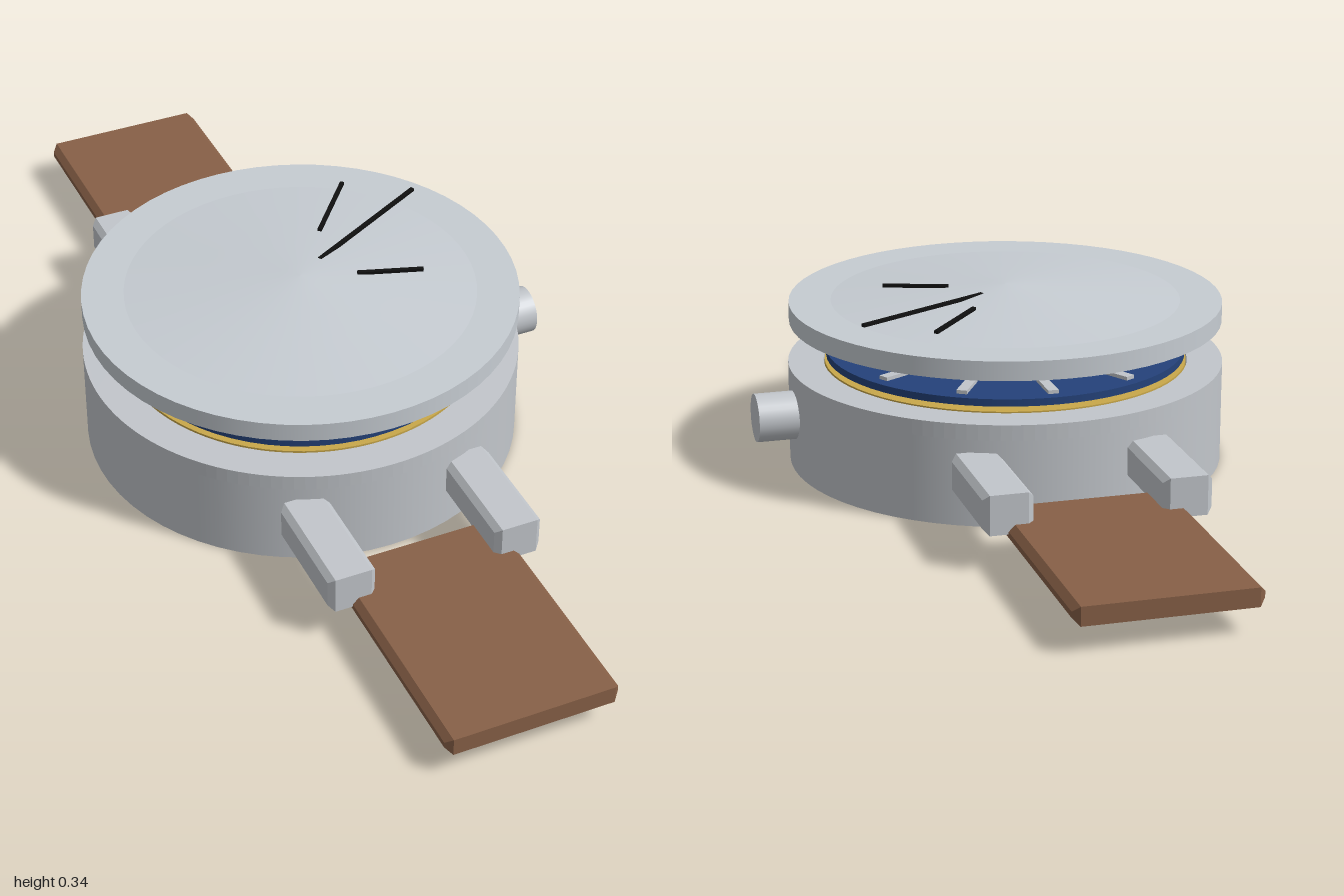
import * as THREE from 'three';

const CX = -0.038; // watch axis, offset because the crown sticks out on one side

function material(name, color) {
  const m = new THREE.MeshStandardMaterial({ color });
  m.name = name;
  return m;
}

// Box chamfered along its length, sized w (x), h (y), d (z)
function bevelBox(w, h, d, b) {
  const x = d / 2 - b, y = h / 2 - b;
  const shape = new THREE.Shape([
    new THREE.Vector2(-x, -y), new THREE.Vector2(x, -y),
    new THREE.Vector2(x, y), new THREE.Vector2(-x, y),
  ]);
  const geo = new THREE.ExtrudeGeometry(shape, {
    depth: w - 2 * b, bevelSize: b, bevelThickness: b, bevelSegments: 1,
  });
  geo.rotateY(Math.PI / 2);
  geo.center();
  return geo;
}

export function createModel() {
  const steel = material('steel', 0xc2c6cb);
  const glass = material('crystal grey', 0xc6ccd2);
  const leather = material('brown leather', 0x876047);
  const navy = material('navy blue', 0x24427a);
  const gold = material('gold', 0xc9a84a);
  const black = material('black', 0x101010);
  const model = new THREE.Group();
  model.name = 'explodedWristwatch';

  const add = (name, geo, mat, x, y, z, parent = model) => {
    const mesh = new THREE.Mesh(geo, mat);
    mesh.name = name;
    mesh.position.set(x, y, z);
    parent.add(mesh);
    return mesh;
  };
  const disc = (name, r, y0, y1, mat, x = CX, z = 0) =>
    add(name, new THREE.CylinderGeometry(r, r, y1 - y0, 64), mat, x, (y0 + y1) / 2, z);

  // Flat bar between two points in plan
  const bar = (name, x0, z0, x1, z1, y, width, height, mat) => {
    const len = Math.hypot(x1 - x0, z1 - z0);
    const mesh = add(name, new THREE.BoxGeometry(len, height, width), mat, (x0 + x1) / 2, y, (z0 + z1) / 2);
    mesh.rotation.y = -Math.atan2(z1 - z0, x1 - x0);
    return mesh;
  };

  // Case with a shallow recess, and the movement inside it
  const outer = new THREE.Shape().absarc(0, 0, 0.424, 0, Math.PI * 2);
  outer.holes.push(new THREE.Path().absarc(0, 0, 0.355, 0, Math.PI * 2, true));
  const rim = new THREE.ExtrudeGeometry(outer, { depth: 0.03, bevelEnabled: false, curveSegments: 64 });
  rim.rotateX(-Math.PI / 2);
  add('caseRim', rim, steel, CX, 0.167, 0);
  disc('caseBody', 0.424, 0, 0.167, steel);
  disc('movement', 0.353, 0.167, 0.199, gold);

  // Crown
  const crown = add('crown', new THREE.CylinderGeometry(0.047, 0.047, 0.085, 32), steel, 0.4185, 0.113, 0);
  crown.rotation.z = Math.PI / 2;

  // Lugs and straps at both ends
  const lugGeo = bevelBox(0.093, 0.075, 0.23, 0.011);
  const strapGeo = bevelBox(0.335, 0.035, 0.478, 0.012);
  for (const s of [1, -1]) {
    for (const side of [1, -1]) add('lug', lugGeo, steel, CX + side * 0.166, 0.1055, s * 0.5);
    add('strap', strapGeo, leather, CX, 0.0675, s * 0.761);
  }

  // Dial with hour markers and small subdial
  disc('dial', 0.35, 0.208, 0.222, navy);
  for (let i = 0; i < 12; i++) {
    const a = (i * Math.PI) / 6, c = Math.cos(a), n = Math.sin(a);
    bar('hourMarker', CX + 0.25 * c, 0.25 * n, CX + 0.328 * c, 0.328 * n, 0.225, 0.02, 0.008, steel);
  }
  disc('subdial', 0.076, 0.222, 0.226, steel, -0.205);

  // Centre post and hands
  disc('centrePost', 0.021, 0.222, 0.281, steel);
  bar('hourHand', CX, 0, -0.12, -0.1, 0.271, 0.018, 0.008, steel);
  bar('minuteHand', CX, 0, 0.07, -0.13, 0.26, 0.012, 0.007, steel);
  bar('smallHand', -0.205, 0, -0.275, 0.03, 0.232, 0.01, 0.007, steel);

  // Raised crystal: disc with a low conical dome
  disc('crystal', 0.421, 0.28, 0.317, glass);
  const dome = new THREE.LatheGeometry([
    new THREE.Vector2(0.351, 0.316), new THREE.Vector2(0.19, 0.33),
    new THREE.Vector2(0.04, 0.3425), new THREE.Vector2(0, 0.344),
  ], 64);
  add('crystalDome', dome, glass, CX, 0, 0);

  // Fine black hands above the crystal
  bar('thinHandLong', 0.02, -0.04, 0.288, -0.185, 0.338, 0.008, 0.006, black);
  bar('thinHandMiddle', 0.06, -0.13, 0.168, -0.262, 0.338, 0.008, 0.006, black);
  bar('thinHandShort', 0.068, 0.03, 0.19, 0.07, 0.338, 0.008, 0.006, black);

  return model;
}
